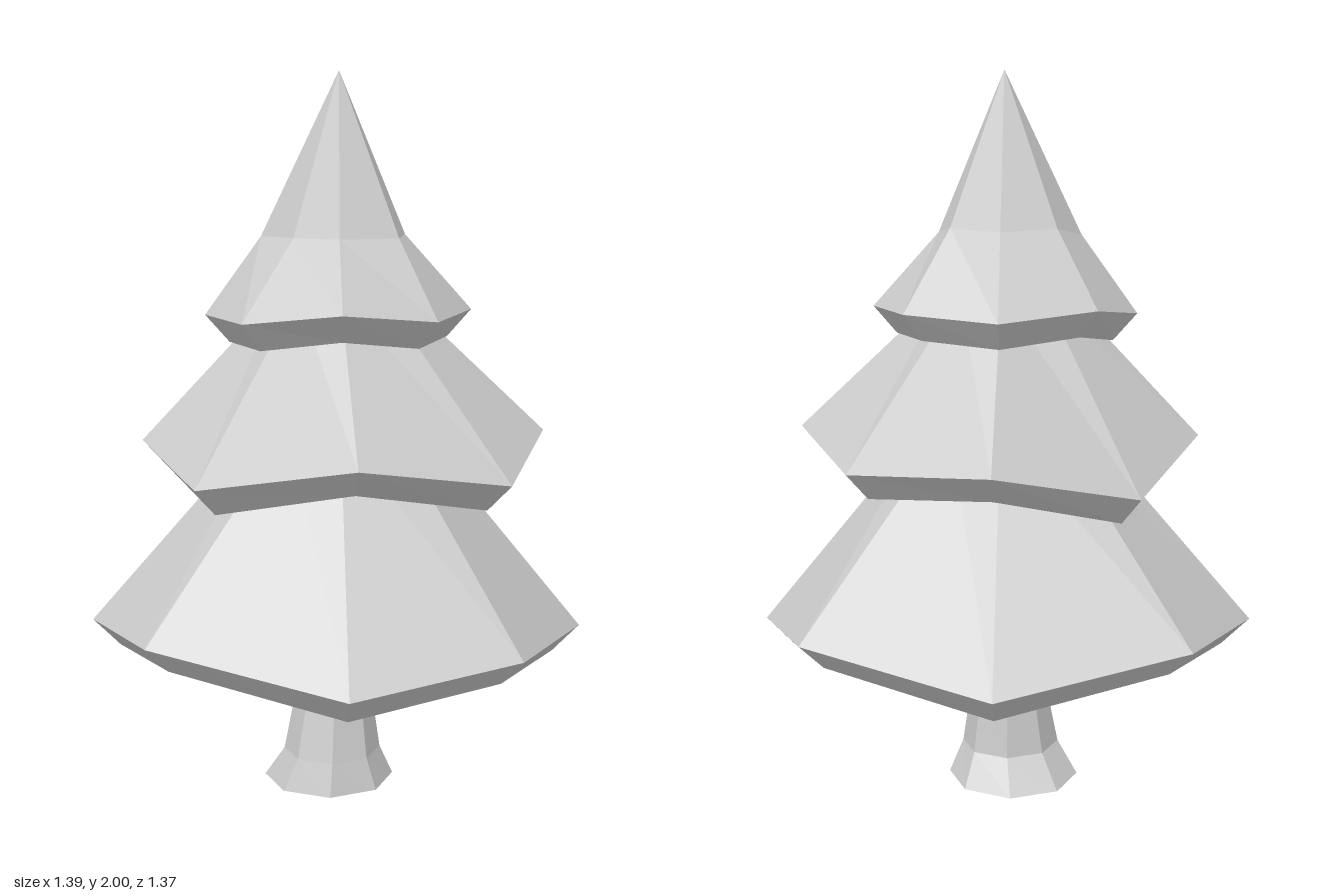
import * as THREE from 'three';

const SIDES = 8;
const material = new THREE.MeshStandardMaterial({ color: 0xcccccc, flatShading: true, side: THREE.DoubleSide });

// Ring of points, starting at +x and turning towards +z
const ring = (cx, y, cz, rx, rz = rx) => Array.from({ length: SIDES }, (_, i) => {
  const a = (i / SIDES) * Math.PI * 2;
  return [cx + Math.cos(a) * rx, y, cz + Math.sin(a) * rz];
});
const point = (x, y, z) => Array.from({ length: SIDES }, () => [x, y, z]);

// Skin a list of rings with flat facets; a ring may collapse to a point
function loft(name, rings) {
  const pos = [];
  const same = (p, q) => p.every((v, k) => v === q[k]);
  const tri = (p, q, r) => {
    if (!same(p, q) && !same(q, r) && !same(p, r)) pos.push(...p, ...q, ...r);
  };
  for (let j = 0; j + 1 < rings.length; j++) {
    for (let i = 0; i < SIDES; i++) {
      const n = (i + 1) % SIDES;
      const a = rings[j][i], b = rings[j][n], c = rings[j + 1][n], d = rings[j + 1][i];
      tri(a, d, c);
      tri(a, c, b);
    }
  }
  const geometry = new THREE.BufferGeometry();
  geometry.setAttribute('position', new THREE.Float32BufferAttribute(pos, 3));
  geometry.computeVertexNormals();
  const mesh = new THREE.Mesh(geometry, material);
  mesh.name = name;
  return mesh;
}

// Hollow skirt of branches: inner cone, bevelled lip, uneven rim, then the upper rings
function tier(name, rim, lipScale, innerRadius, innerY, upper) {
  const lip = rim.map(([x, y, z]) => [x * lipScale, y - 0.075, z * lipScale]);
  return loft(name, [
    point(0.01, innerY, 0.01), ring(0.01, innerY, 0.01, innerRadius), lip, rim, ...upper,
  ]);
}

export function createModel() {
  const tree = new THREE.Group();
  tree.name = 'tree';

  // Trunk with a flared foot
  tree.add(loft('trunk', [
    point(-0.03, 0, 0.005),
    ring(-0.035, 0, 0.005, 0.185),
    ring(-0.012, 0.09, 0.015, 0.135, 0.14),
    ring(-0.015, 0.28, 0.005, 0.105),
    ring(-0.02, 0.45, 0, 0.1),
    ring(0, 0.97, 0, 0.09),
    point(0, 0.97, 0),
  ]));

  // Lower branches
  tree.add(tier('lowerBranches', [
    [0.69, 0.51, 0.045], [0.5, 0.47, 0.49], [-0.04, 0.53, 0.68], [-0.5, 0.475, 0.49],
    [-0.7, 0.535, 0.02], [-0.49, 0.47, -0.48], [0.03, 0.53, -0.69], [0.49, 0.45, -0.485],
  ], 0.89, 0.14, 0.96, [ring(0.01, 1.05, 0.01, 0.2), point(0.01, 1.05, 0.01)]));

  // Middle branches
  tree.add(tier('middleBranches', [
    [0.6, 0.945, -0.01], [0.445, 1.02, 0.4], [0.02, 0.935, 0.555], [-0.365, 1.0, 0.405],
    [-0.515, 0.905, 0.015], [-0.38, 1.0, -0.385], [0.02, 0.965, -0.535], [0.41, 1.02, -0.4],
  ], 0.87, 0.13, 1.29, [ring(0.01, 1.41, 0.01, 0.16), point(0.01, 1.41, 0.01)]));

  // Top branches, kinked below a sharp tip
  tree.add(tier('topBranches', [
    [0.37, 1.35, 0.015], [0.275, 1.378, 0.275], [0.01, 1.345, 0.375], [-0.255, 1.345, 0.265],
    [-0.345, 1.38, 0.02], [-0.25, 1.36, -0.245], [0, 1.37, -0.355], [0.27, 1.36, -0.245],
  ], 0.82, 0.1, 1.52, [
    [
      [0.22, 1.56, 0.0], [0.145, 1.56, 0.15], [0.01, 1.56, 0.185], [-0.14, 1.56, 0.16],
      [-0.19, 1.585, 0.02], [-0.13, 1.58, -0.13], [0.02, 1.585, -0.175], [0.14, 1.565, -0.115],
    ],
    point(0.02, 2, 0.02),
  ]));

  return tree;
}
